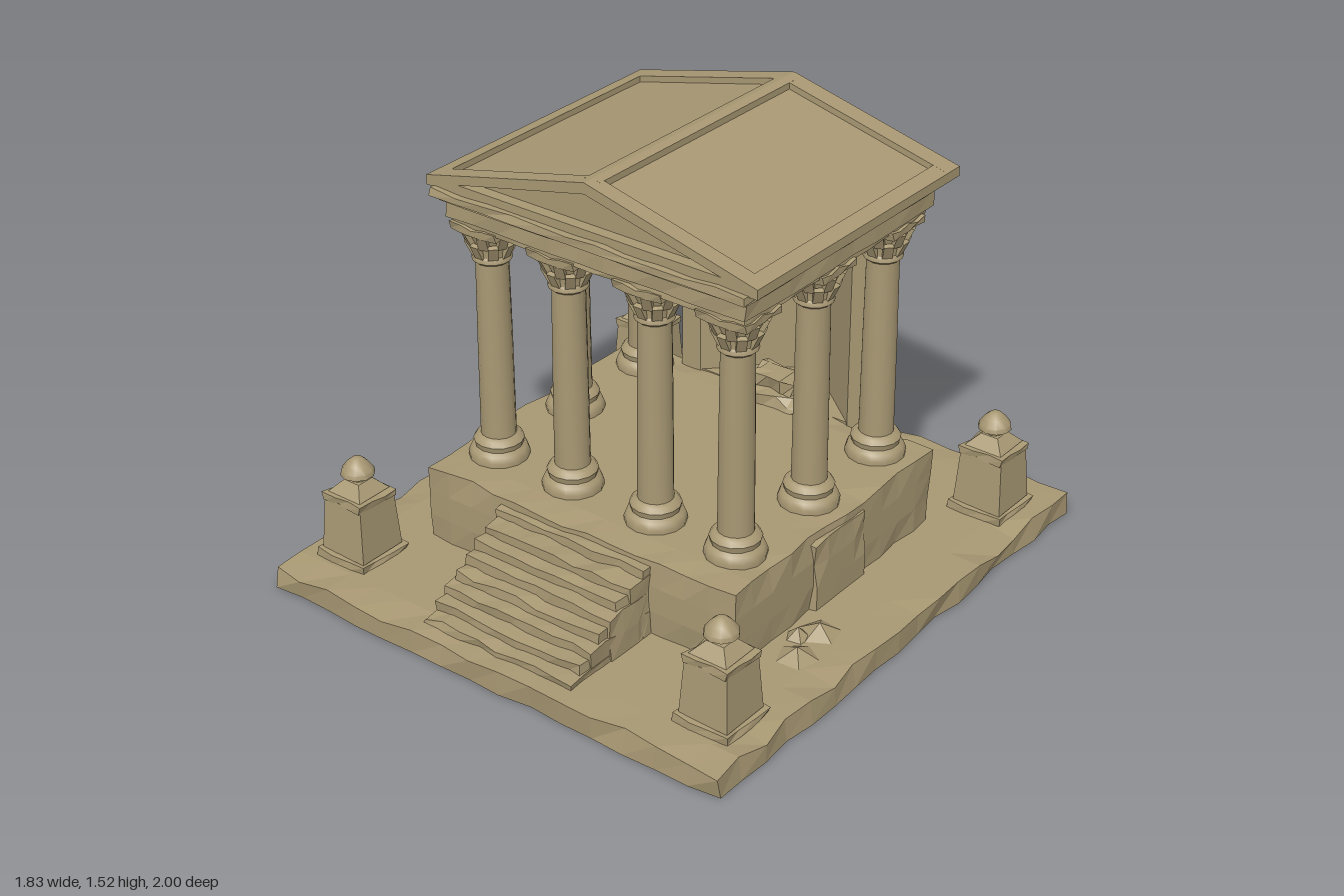
import * as THREE from 'three';
import { toCreasedNormals } from 'three/addons/utils/BufferGeometryUtils.js';

const stone = new THREE.MeshStandardMaterial({ color: 0xa89873 });
stone.name = 'sandstone';

// repeatable noise 0..1 from a position, so shared corners stay closed
const noise = (x, y, z, k) => {
  const s = Math.sin(Math.round(x * 500) * 12.99 + Math.round(y * 500) * 78.23 + Math.round(z * 500) * 37.72 + k * 9.17) * 43758.5453;
  return s - Math.floor(s);
};

function mesh(parent, name, geometry) {
  const m = new THREE.Mesh(geometry, stone);
  m.name = name;
  parent.add(m);
  return m;
}

function facet(g) {
  const f = g.index ? g.toNonIndexed() : g;
  f.computeVertexNormals();
  return f;
}

// box given by its limits, with chipped edges
function block(parent, name, [x0, x1], [y0, y1], [z0, z1], chip = 0.01, step = 0.11) {
  const min = [x0, y0, z0], max = [x1, y1, z1];
  const size = max.map((v, i) => v - min[i]);
  const g = new THREE.BoxGeometry(...size, ...size.map(s => Math.max(1, Math.round(s / step))));
  g.translate((x0 + x1) / 2, (y0 + y1) / 2, (z0 + z1) / 2);
  const p = g.attributes.position;
  for (let i = 0; i < p.count; i++) {
    const c = [p.getX(i), p.getY(i), p.getZ(i)];
    const side = c.map((v, a) => (Math.abs(v - max[a]) < 1e-4 ? 1 : Math.abs(v - min[a]) < 1e-4 ? -1 : 0));
    if (side.filter(s => s).length < 2) continue;
    const moved = c.map((v, a) => (a === 1 && side[1] < 0 ? v : v - side[a] * chip * noise(...c, a) ** 2));
    p.setXYZ(i, ...moved);
  }
  return mesh(parent, name, facet(g));
}

const shapeOf = pts => new THREE.Shape(pts.map(p => new THREE.Vector2(...p)));
const mirrored = half => [...half, ...half.filter(p => p[0] > 0).reverse().map(([x, y]) => [-x, y])];

// outline in x and y, pushed from z0 to z1
function slab(parent, name, shape, z0, z1) {
  const g = new THREE.ExtrudeGeometry(shape, { depth: z1 - z0, bevelEnabled: false });
  return mesh(parent, name, g.translate(0, 0, z0));
}

// plan outline in x and -z, raised from y0 to y1
function raised(parent, name, pts, y0, y1, bevel = 0) {
  const g = new THREE.ExtrudeGeometry(shapeOf(pts), {
    depth: y1 - y0 - 2 * bevel, bevelEnabled: bevel > 0, bevelSize: bevel, bevelOffset: -bevel, bevelThickness: bevel, bevelSegments: 2
  });
  return mesh(parent, name, g.rotateX(-Math.PI / 2).translate(0, y0 + bevel, 0));
}

function lathe(parent, name, profile, sides) {
  const g = new THREE.LatheGeometry(profile.map(p => new THREE.Vector2(...p)), sides);
  return mesh(parent, name, toCreasedNormals(g, 0.7));
}

function column(parent, x, z) {
  const c = new THREE.Group();
  c.name = 'column';
  lathe(c, 'columnBase', [[0.1, 0.35], [0.102, 0.375], [0.094, 0.395], [0.08, 0.405], [0.085, 0.425], [0.075, 0.44], [0.059, 0.447]], 14);
  lathe(c, 'columnShaft', [[0.059, 0.44], [0.057, 0.8], [0.054, 1.1]], 16);
  lathe(c, 'columnCapital', [[0.054, 1.075], [0.066, 1.085], [0.064, 1.1], [0.06, 1.105], [0.066, 1.15], [0.088, 1.195], [0.09, 1.2]], 14);
  // leaves curling out in two rows
  for (let i = 0; i < 16; i++) {
    const upper = i % 2;
    const leaf = new THREE.BoxGeometry(0.032, 0.055, 0.016);
    leaf.rotateX(0.45).translate(0, upper ? 1.168 : 1.128, upper ? 0.08 : 0.067).rotateY(i * Math.PI / 8);
    mesh(c, 'capitalLeaf', leaf);
  }
  block(c, 'abacus', [-0.094, 0.094], [1.19, 1.22], [-0.094, 0.094], 0.012, 0.05);
  c.position.set(x, 0, z);
  c.rotation.y = 0;
  parent.add(c);
}

// four-sided frustum with flat faces
function frustum(parent, name, bottom, top, y0, y1) {
  const g = new THREE.CylinderGeometry(top * Math.SQRT2, bottom * Math.SQRT2, y1 - y0, 4);
  return mesh(parent, name, facet(g.rotateY(Math.PI / 4).translate(0, (y0 + y1) / 2, 0)));
}

function pedestal(parent, x, z) {
  const p = new THREE.Group();
  p.name = 'cornerPedestal';
  block(p, 'pedestalFoot', [-0.106, 0.106], [0.08, 0.115], [-0.112, 0.112], 0.016, 0.07);
  frustum(p, 'pedestalBody', 0.091, 0.079, 0.11, 0.3);
  block(p, 'pedestalCap', [-0.087, 0.087], [0.295, 0.325], [-0.087, 0.087], 0.014, 0.06);
  frustum(p, 'pedestalTop', 0.07, 0.032, 0.325, 0.365);
  lathe(p, 'finial', [[0.026, 0.36], [0.027, 0.378], [0.057, 0.386], [0.054, 0.402], [0.036, 0.426], [0.018, 0.442], [0, 0.446]], 10);
  p.position.set(x, 0, z);
  parent.add(p);
}

export function createModel() {
  const model = new THREE.Group();
  model.name = 'temple';

  // ground slab and podium
  block(model, 'groundSlab', [-0.915, 0.915], [0, 0.085], [-1, 1], 0.026, 0.12);
  block(model, 'podium', [-0.63, 0.63], [0.08, 0.36], [-0.55, 0.552], 0.016, 0.1);
  for (const s of [-1, 1]) {
    const xs = s > 0 ? [0.6, 0.643] : [-0.643, -0.6];
    block(model, 'podiumSidePanel', xs, [0.08, 0.335], [-0.15, 0.14], 0.014, 0.08);
  }

  // stairs, from the top step down
  block(model, 'step', [-0.305, 0.305], [0.08, 0.335], [0.53, 0.585], 0.012);
  for (let i = 0; i < 7; i++) {
    const w = 0.305 - 0.008 * (i % 2);
    block(model, 'step', [-w, w], [0.08, 0.308 - 0.033 * i], [0.54, 0.65 + 0.048 * i], 0.014, 0.08);
  }

  // columns: four across the front, two more along each side
  for (const x of [-0.485, -0.17, 0.17, 0.485]) column(model, x, 0.35);
  for (const x of [-0.485, 0.485]) for (const z of [-0.04, -0.42]) column(model, x, z);

  // corner pedestals
  for (const x of [-0.737, 0.737]) for (const z of [-0.757, 0.757]) pedestal(model, x, z);

  // angular apse: wall, raised floor and roof
  const wedge = [[0.39, 0.51], [0.39, 0.53], [0, 0.84], [-0.39, 0.53], [-0.39, 0.51]];
  raised(model, 'apseWall', [...wedge, [-0.31, 0.51], [0, 0.765], [0.31, 0.51]], 0.08, 1.18);
  raised(model, 'apseFloor', [[0.385, 0.515], [0, 0.82], [-0.385, 0.515]], 0.08, 0.36);
  raised(model, 'apseRoof', wedge, 1.15, 1.205, 0.018);
  raised(model, 'apseRoofRise', [[0.33, 0.5], [0, 0.73], [-0.33, 0.5]], 1.19, 1.23, 0.018);

  // low altar in front of the apse
  block(model, 'altarStep', [-0.16, 0.16], [0.35, 0.4], [-0.62, -0.43], 0.03, 0.05);
  block(model, 'altar', [-0.11, 0.11], [0.39, 0.45], [-0.61, -0.47], 0.03, 0.05);

  // entablature in stepped courses
  block(model, 'architrave', [-0.57, 0.57], [1.21, 1.245], [-0.535, 0.437], 0.008);
  block(model, 'frieze', [-0.585, 0.585], [1.235, 1.3], [-0.557, 0.452], 0.01);
  block(model, 'lowerCornice', [-0.595, 0.595], [1.295, 1.32], [-0.58, 0.468], 0.01);
  block(model, 'cornice', [-0.612, 0.612], [1.315, 1.345], [-0.618, 0.495], 0.012);

  // gabled roof with sunken slopes
  const body = [[0.64, 1.337], [0.64, 1.37], [0.585, 1.383], [0.585, 1.362], [0.03, 1.496], [0.03, 1.518], [0, 1.525]];
  slab(model, 'roof', shapeOf(mirrored(body)), -0.56, 0.43);

  // raking frames around the recessed gables at both ends
  const gable = shapeOf(mirrored([[0.64, 1.337], [0.64, 1.37], [0, 1.525]]));
  gable.holes.push(new THREE.Path([[-0.51, 1.37], [0, 1.487], [0.51, 1.37]].map(p => new THREE.Vector2(...p))));
  slab(model, 'frontGableFrame', gable, 0.41, 0.47);
  slab(model, 'backGableFrame', gable, -0.6, -0.53);

  // broken stone shards on the slab
  for (const [x, z, r] of [[0.72, 0.22, 0.085], [0.74, 0.37, 0.085], [0.68, 0.28, 0.05]]) {
    const shard = new THREE.ConeGeometry(r, 0.045, 5, 1);
    shard.rotateY(x * 40);
    mesh(model, 'stoneShard', facet(shard)).position.set(x, 0.1, z);
  }
  return model;
}
